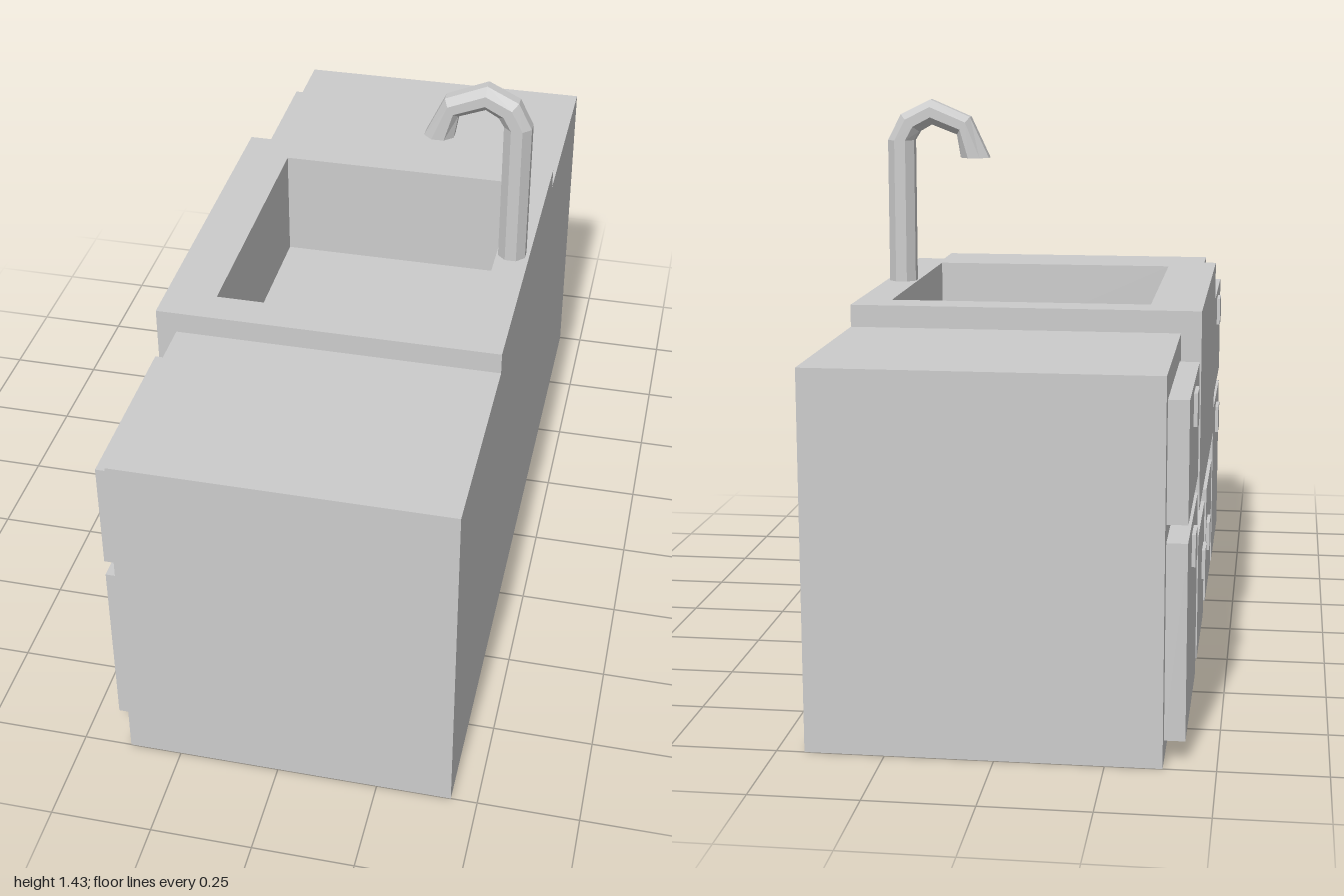
import * as THREE from 'three';

const material = new THREE.MeshStandardMaterial({ color: 0xcccccc, flatShading: true, side: THREE.DoubleSide });

// Main levels of the cabinet
const BACK = 0.435, FACE = -0.38, APRON = -0.43;   // x
const END = 1, MID = 0.45;                         // z
const COUNTER = 0.89, RIM = 0.945, APRON_LOW = 0.45; // y

const rect = (u0, u1, v0, v1) => [[u0, v0], [u1, v0], [u1, v1], [u0, v1]];

// How a flat panel drawn in world coordinates is turned to face an axis
const facings = {
  '+x': { su: -1, sv: 1, rot: [0, Math.PI / 2, 0], axis: 'x' },   // points are (z, y)
  '-x': { su: 1, sv: 1, rot: [0, -Math.PI / 2, 0], axis: 'x' },
  '+z': { su: 1, sv: 1, rot: [0, 0, 0], axis: 'z' },              // points are (x, y)
  '-z': { su: -1, sv: 1, rot: [0, Math.PI, 0], axis: 'z' },
  '+y': { su: 1, sv: -1, rot: [-Math.PI / 2, 0, 0], axis: 'y' },  // points are (x, z)
  '-y': { su: 1, sv: 1, rot: [Math.PI / 2, 0, 0], axis: 'y' },
};

function panel(name, facing, offset, points, hole) {
  const f = facings[facing];
  const flat = (list) => list.map(([u, v]) => new THREE.Vector2(u * f.su, v * f.sv));
  const shape = new THREE.Shape(flat(points));
  if (hole) shape.holes.push(new THREE.Path(flat(hole)));
  const mesh = new THREE.Mesh(new THREE.ShapeGeometry(shape), material);
  mesh.rotation.set(...f.rot);
  mesh.position[f.axis] = offset;
  mesh.name = name;
  return mesh;
}

function box(name, x0, x1, y0, y1, z0, z1) {
  const mesh = new THREE.Mesh(new THREE.BoxGeometry(x1 - x0, y1 - y0, z1 - z0), material);
  mesh.position.set((x0 + x1) / 2, (y0 + y1) / 2, (z0 + z1) / 2);
  mesh.name = name;
  return mesh;
}

// Hollow cabinet, open underneath, with a raised sink block in the middle
function createCabinet() {
  const g = new THREE.Group();
  g.name = 'cabinet';
  g.add(panel('plainWall', '+x', BACK, [
    [-END, 0], [END, 0], [END, COUNTER], [MID, COUNTER],
    [MID, RIM], [-MID, RIM], [-MID, COUNTER], [-END, COUNTER],
  ]));
  g.add(panel('drawerWall', '-x', FACE, [
    [-END, 0], [END, 0], [END, COUNTER], [MID, COUNTER],
    [MID, APRON_LOW], [-MID, APRON_LOW], [-MID, COUNTER], [-END, COUNTER],
  ]));
  for (const s of [1, -1]) {
    const facing = s > 0 ? '+z' : '-z';
    g.add(panel('endWall', facing, s * END, rect(FACE, BACK, 0, COUNTER)));
    g.add(panel('counterTop', '+y', COUNTER, rect(FACE, BACK, ...(s > 0 ? [MID, END] : [-END, -MID]))));
    g.add(panel('sinkBlockSide', facing, s * MID, [
      [APRON, APRON_LOW], [FACE, APRON_LOW], [FACE, COUNTER],
      [BACK, COUNTER], [BACK, RIM], [APRON, RIM],
    ]));
  }
  g.add(panel('apronFront', '-x', APRON, rect(-MID, MID, APRON_LOW, RIM)));
  g.add(panel('apronUnderside', '-y', APRON_LOW, rect(APRON, FACE, -MID, MID)));
  return g;
}

// Rim with its cut-out, and the straight-sided basin below
function createSink() {
  const g = new THREE.Group();
  g.name = 'sink';
  const x0 = -0.3, x1 = 0.35, z = 0.357, floor = 0.65;
  g.add(panel('sinkRim', '+y', RIM, rect(APRON, BACK, -MID, MID), rect(x0, x1, -z, z)));
  g.add(panel('basinFloor', '+y', floor, rect(x0, x1, -z, z)));
  g.add(panel('basinWall', '+x', x0, rect(-z, z, floor, RIM)));
  g.add(panel('basinWall', '-x', x1, rect(-z, z, floor, RIM)));
  g.add(panel('basinWall', '+z', -z, rect(x0, x1, floor, RIM)));
  g.add(panel('basinWall', '-z', z, rect(x0, x1, floor, RIM)));
  return g;
}

// A front panel with a small square handle
function createFront(name, y0, y1, z0, z1, handleY, handleZ) {
  const g = new THREE.Group();
  g.name = name;
  const h = 0.0385, w = 0.0435;
  g.add(box('frontPanel', APRON + 0.002, FACE, y0, y1, z0, z1));
  g.add(box('handle', -0.437, APRON + 0.002, handleY - h, handleY + h, handleZ - w, handleZ + w));
  return g;
}

// Bent eight-sided pipe; each section gives its outer and inner edge as (x, y)
function createFaucet() {
  const sections = [
    [[0.425, RIM], [0.355, RIM]],
    [[0.425, 1.32], [0.355, 1.32]],
    [[0.39, 1.388], [0.341, 1.343]],
    [[0.31, 1.427], [0.308, 1.362]],
    [[0.205, 1.382], [0.24, 1.336]],
    [[0.155, 1.275], [0.23, 1.275]],
  ];
  const sides = 8, half = 0.035, flat = Math.cos(Math.PI / sides);
  const positions = [], indices = [];
  for (const [[ox, oy], [ix, iy]] of sections) {
    for (let i = 0; i < sides; i++) {
      const a = ((i + 0.5) / sides) * Math.PI * 2;
      const c = Math.cos(a) / flat / 2, s = Math.sin(a) / flat;
      positions.push((ox + ix) / 2 + (ox - ix) * c, (oy + iy) / 2 + (oy - iy) * c, half * s);
    }
  }
  for (let r = 0; r < sections.length - 1; r++) {
    for (let i = 0; i < sides; i++) {
      const a = r * sides + i, b = r * sides + (i + 1) % sides;
      indices.push(a, a + sides, b, b, a + sides, b + sides);
    }
  }
  // Spout end cap
  const last = (sections.length - 1) * sides;
  for (let i = 1; i < sides - 1; i++) indices.push(last, last + i + 1, last + i);
  const geometry = new THREE.BufferGeometry();
  geometry.setAttribute('position', new THREE.Float32BufferAttribute(positions, 3));
  geometry.setIndex(indices);
  const flatGeometry = geometry.toNonIndexed();
  flatGeometry.computeVertexNormals();
  const mesh = new THREE.Mesh(flatGeometry, material);
  mesh.name = 'faucet';
  return mesh;
}

export function createModel() {
  const model = new THREE.Group();
  model.name = 'kitchenSinkUnit';
  model.add(createCabinet(), createSink(), createFaucet());
  // Two stacked drawers at each end
  for (const [z0, z1, hz] of [[-0.957, -0.5, -0.732], [0.483, 0.94, 0.702]]) {
    model.add(createFront('upperDrawer', 0.55, 0.83, z0, z1, 0.77, hz));
    model.add(createFront('lowerDrawer', 0.05, 0.508, z0, z1, 0.44, hz));
  }
  // Pair of small doors under the apron
  model.add(createFront('door', 0.06, 0.375, -0.425, -0.07, 0.235, -0.147));
  model.add(createFront('door', 0.06, 0.375, 0.055, 0.41, 0.235, 0.128));
  return model;
}
